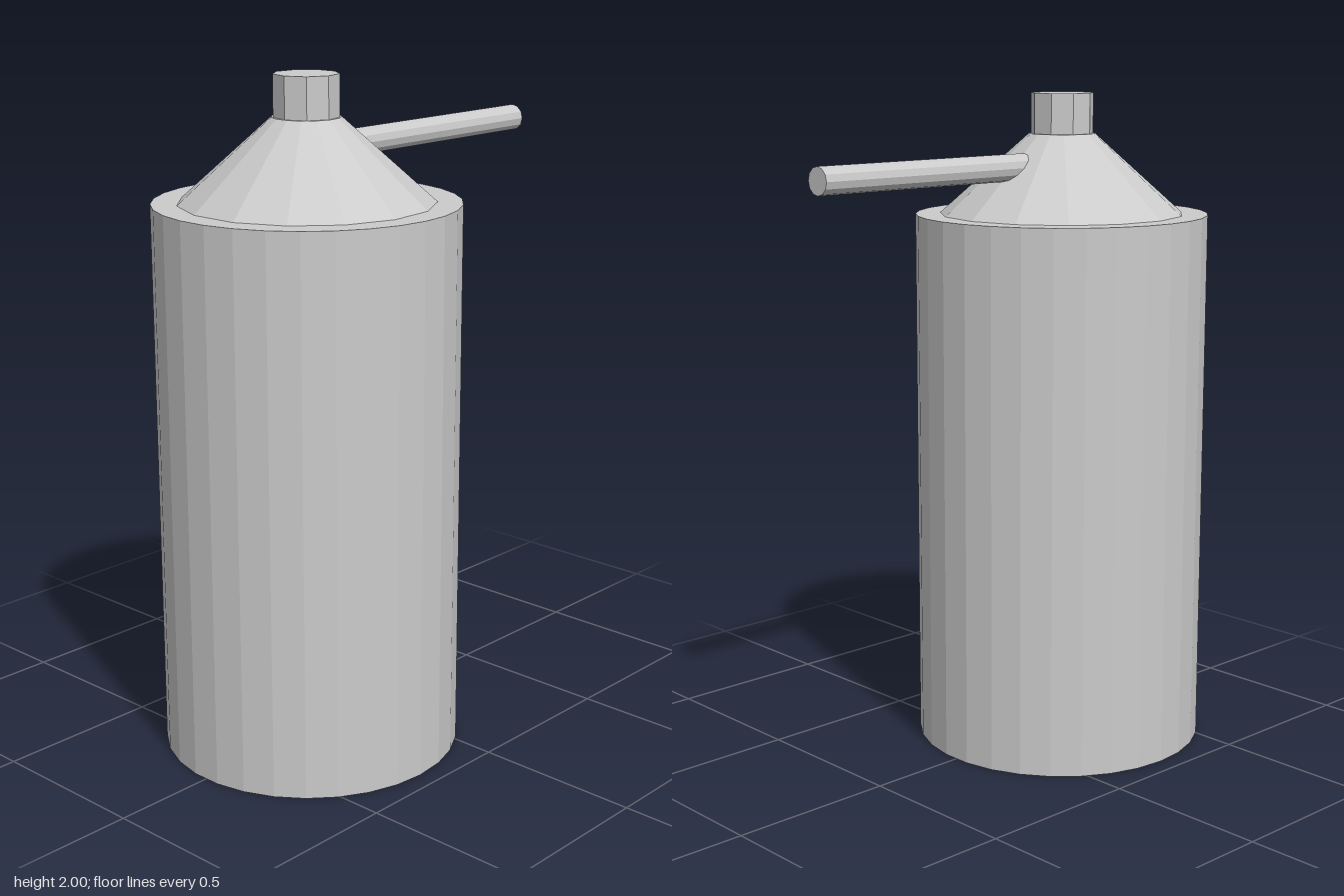
import * as THREE from 'three';

export function createModel() {
  const group = new THREE.Group();
  const material = new THREE.MeshStandardMaterial({ color: 0xcccccc, flatShading: true });
  const axisX = -0.245;

  // Upright faceted drum between two heights; start turns its first corner from +z
  function drum(name, rTop, rBottom, y0, y1, sides, start = 0) {
    const geometry = new THREE.CylinderGeometry(rTop, rBottom, y1 - y0, sides, 1, false, start, Math.PI * 2);
    const mesh = new THREE.Mesh(geometry, material);
    mesh.name = name;
    mesh.position.set(axisX, (y0 + y1) / 2, 0);
    group.add(mesh);
  }

  drum('body', 0.443, 0.443, 0, 1.64, 30);
  drum('shoulder', 0.1, 0.37, 1.64, 1.88, 15, Math.PI / 2);
  drum('neck', 0.095, 0.095, 1.86, 2, 9, THREE.MathUtils.degToRad(35));

  // Straight side spout, starting inside the shoulder
  const x0 = -0.2, x1 = 0.685;
  const spoutGeometry = new THREE.CylinderGeometry(0.04, 0.04, x1 - x0, 12);
  spoutGeometry.rotateZ(-Math.PI / 2);
  const spout = new THREE.Mesh(spoutGeometry, material);
  spout.name = 'spout';
  spout.position.set((x0 + x1) / 2, 1.787, 0);
  group.add(spout);

  return group;
}
